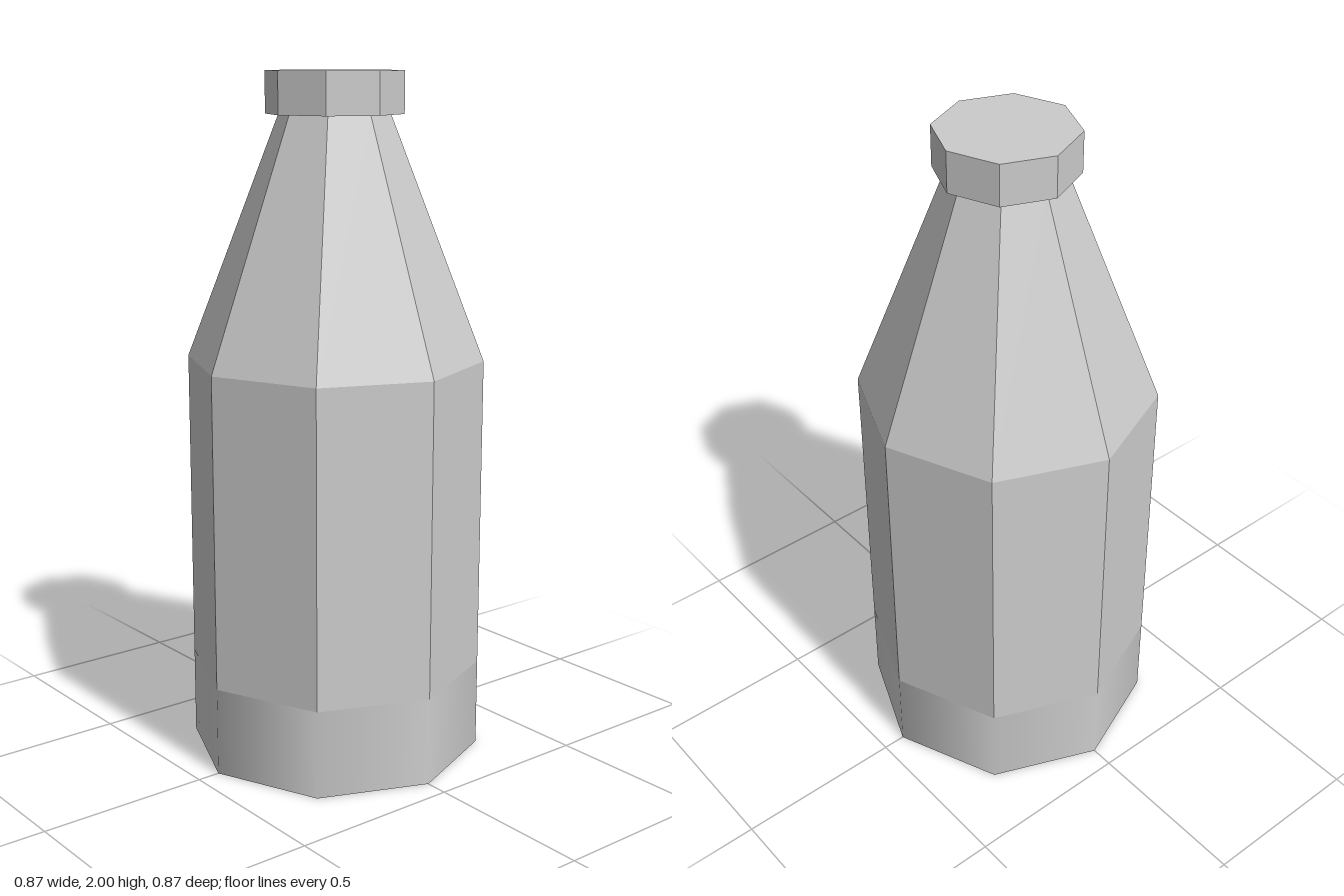
import * as THREE from 'three';

const SIDES = 8;
const R_BODY = 0.433, R_NECK = 0.16, R_CAP = 0.198;
const Y_BAND = 0.26, Y_SHOULDER = 1.18, Y_NECK = 1.88, Y_TOP = 2;

export function createModel() {
  const group = new THREE.Group();
  const material = (flatShading) => new THREE.MeshStandardMaterial({
    color: 0xcccccc, flatShading, side: THREE.DoubleSide,
  });
  const faceted = material(true);
  const smooth = material(false);

  // One eight-sided section between two heights
  const section = (name, rBottom, rTop, y0, y1, mat, open = true) => {
    const geometry = new THREE.CylinderGeometry(rTop, rBottom, y1 - y0, SIDES, 1, open);
    const mesh = new THREE.Mesh(geometry, mat);
    mesh.name = name;
    mesh.position.y = (y0 + y1) / 2;
    group.add(mesh);
  };

  // Smooth-shaded base ring, open underneath
  section('baseBand', R_BODY, R_BODY, 0, Y_BAND, smooth);
  // Faceted hollow body and tapering shoulder
  section('body', R_BODY, R_BODY, Y_BAND, Y_SHOULDER, faceted);
  section('shoulder', R_BODY, R_NECK, Y_SHOULDER, Y_NECK, faceted);
  // Closed cap overhanging the neck
  section('cap', R_CAP, R_CAP, Y_NECK, Y_TOP, faceted, false);

  return group;
}
